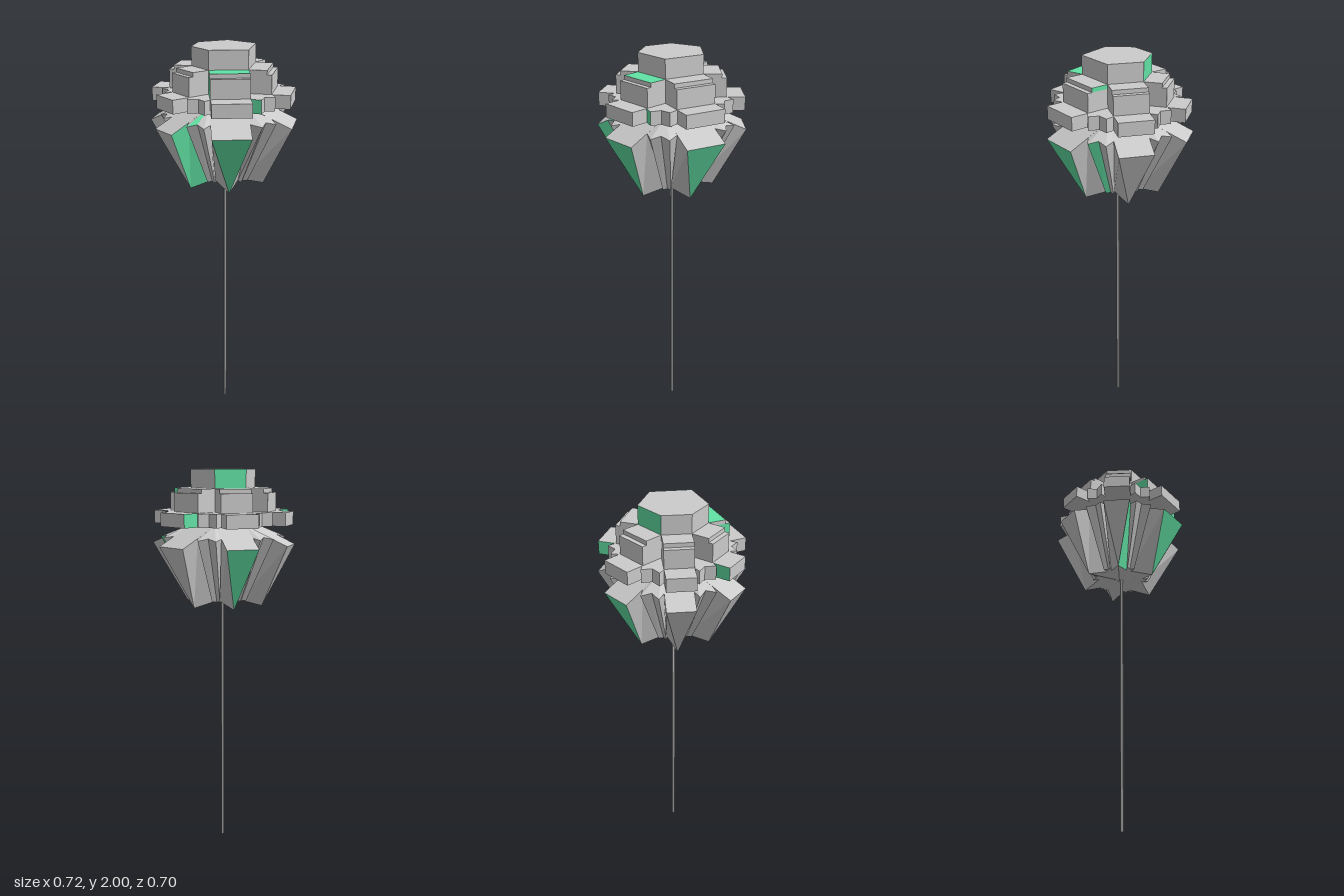
import * as THREE from 'three';

const grey = new THREE.MeshStandardMaterial({ color: 0xcccccc, flatShading: true, side: THREE.DoubleSide });
const green = new THREE.MeshStandardMaterial({ color: 0x62e2a5, flatShading: true, side: THREE.DoubleSide });

// Irregular hexagonal core in plan (x, z); every arm grows from one of its edges
const core = [[-0.035, -0.15], [0.115, -0.107], [0.155, 0.055], [0, 0.177], [-0.15, 0.07], [-0.143, -0.068]]
  .map(([x, z]) => new THREE.Vector2(x, z));
const corner = i => core[i % 6];
const normal = i => {
  const d = corner(i + 1).clone().sub(corner(i)).normalize();
  return new THREE.Vector2(d.y, -d.x);
};
const off = (p, n, d) => p.clone().addScaledVector(n, d);
const at = (p, y) => new THREE.Vector3(p.x, y, p.y);

// Gear outline, 7 points per edge: joint, outer, outer, joint, tip, notch, tip
function gear({ joint, outer, tip, notch, spread, shrink = 1, apex, y }) {
  const ring = [];
  for (let i = 0; i < 6; i++) {
    const n = normal(i % 6), m = normal((i + 1) % 6);
    const out = n.clone().add(m).normalize(), along = n.clone().sub(m).normalize();
    const a = corner(i).clone().multiplyScalar(shrink), b = corner(i + 1).clone().multiplyScalar(shrink);
    const mid = off(corner(i).clone().lerp(corner(i + 1), 0.5), n, apex ?? 0);
    ring.push(
      at(off(a, n, joint), y[0]),
      at(apex ? mid : off(a, n, outer), y[1]),
      at(apex ? mid : off(b, n, outer), y[1]),
      at(off(b, n, joint), y[0]),
      at(off(off(b, out, tip), along, spread), y[2]),
      at(off(b, out, notch), y[3]),
      at(off(off(b, out, tip), along, -spread), y[2]));
  }
  return ring;
}

// Arms only, 3 points per edge
function cross(d, y) {
  return core.flatMap((p, i) => [at(p, y), at(off(p, normal(i), d), y), at(off(corner(i + 1), normal(i), d), y)]);
}
const moved = (ring, y) => ring.map(p => new THREE.Vector3(p.x, y, p.z));

// Collects flat faces in two colours
function shell(name, build) {
  const lists = [[], []];
  const tri = (a, b, c, tint = false) => {
    const area = b.clone().sub(a).cross(c.clone().sub(a)).length();
    if (area > 1e-8) for (const p of [a, b, c]) lists[+tint].push(p.x, p.y, p.z);
  };
  const wall = (top, bottom, tints = []) => top.forEach((a, i) => {
    const j = (i + 1) % top.length, t = tints.includes(i);
    tri(a, top[j], bottom[j], t);
    tri(a, bottom[j], bottom[i], t);
  });
  const cap = (ring, y, up) => ring.forEach((a, i) => {
    const b = ring[(i + 1) % ring.length], c = new THREE.Vector3(0, y, 0);
    if (up) tri(c, b, a); else tri(c, a, b);
  });
  build({ tri, wall, cap });
  const group = new THREE.Group();
  group.name = name;
  lists.forEach((list, k) => {
    if (!list.length) return;
    const geo = new THREE.BufferGeometry();
    geo.setAttribute('position', new THREE.Float32BufferAttribute(list, 3));
    geo.computeVertexNormals();
    const mesh = new THREE.Mesh(geo, k ? green : grey);
    mesh.name = name + (k ? 'Accents' : 'Faces');
    group.add(mesh);
  });
  return group;
}

export function createModel() {
  const model = new THREE.Group();
  model.name = 'layeredHeadOnPole';

  // Hexagonal crown
  model.add(shell('crown', ({ wall, cap }) => {
    const top = core.map(p => at(p, 2));
    wall(top, moved(top, 1.8), [0]);
    cap(top, 2, true);
  }));

  // Upper arms with a small step near their ends
  model.add(shell('upperArms', ({ tri, wall, cap }) => {
    const inner = cross(0.087, 1.91), ledge = cross(0.11, 1.89);
    wall(inner, moved(inner, 1.89), [6]);
    wall(ledge, moved(ledge, 1.8), [11]);
    cap(ledge, 1.89, true);
    for (let i = 0; i < 6; i++) {
      const [a, b, c] = inner.slice(3 * i, 3 * i + 3), d = inner[(3 * i + 3) % 18];
      tri(a, d, c, i === 3);
      tri(a, c, b, i === 3);
    }
  }));

  // Wide gear-shaped tier
  model.add(shell('middleTier', ({ wall, cap }) => {
    const top = gear({ joint: 0.115, outer: 0.2, tip: 0.136, notch: 0.11, spread: 0.044, y: [1.8, 1.8, 1.8, 1.8] });
    const bottom = moved(top, 1.735);
    wall(top, bottom, [7, 20, 30]);
    cap(top, 1.8, true);
    cap(bottom, 1.735, false);
  }));

  // Tapering lower body: sloped roof, then petals and ribs narrowing downwards
  model.add(shell('lowerPetals', ({ wall, cap }) => {
    const neck = gear({ joint: 0, outer: 0, tip: 0, notch: 0, spread: 0, y: [1.735, 1.735, 1.735, 1.735] });
    const rim = gear({ joint: 0.115, outer: 0.212, tip: 0.147, notch: 0.122, spread: 0.044, y: [1.683, 1.64, 1.675, 1.685] });
    const foot = gear({ joint: 0.02, apex: 0.065, tip: 0.05, notch: 0.035, spread: 0.02, shrink: 0.6, y: [1.36, 1.33, 1.36, 1.36] });
    wall(neck, rim, [26]);
    wall(rim, foot, [1, 15, 22, 28, 12]);
    cap(foot, 1.36, false);
  }));

  // Thin pole
  const pole = new THREE.Mesh(new THREE.CylinderGeometry(0.008, 0.008, 1.4, 6), grey);
  pole.name = 'pole';
  pole.position.set(-0.002, 0.7, 0.012);
  model.add(pole);
  return model;
}
